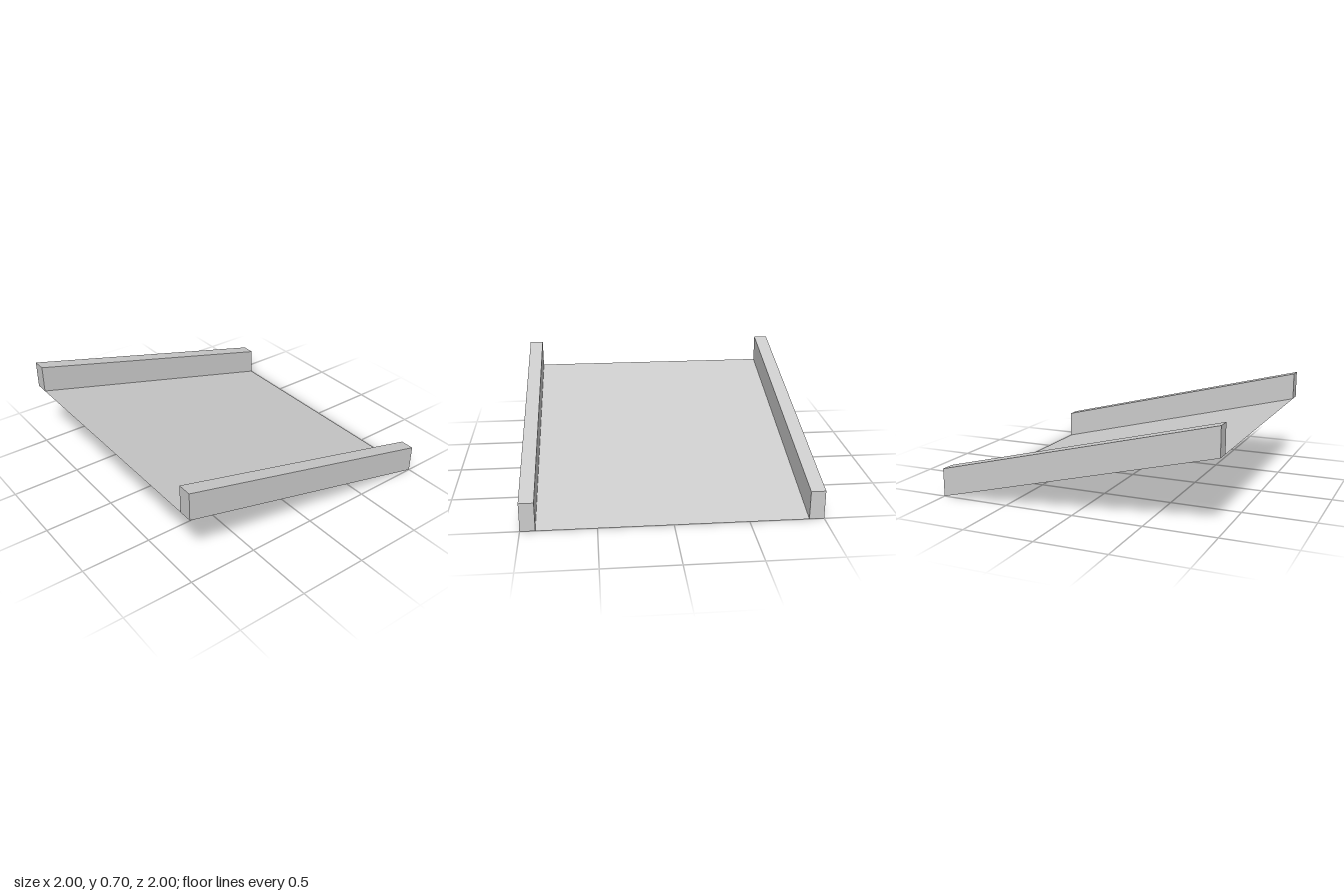
import * as THREE from 'three';

const WIDTH = 2, LENGTH = 2, RISE = 0.5;
const RAIL_WIDTH = 0.1, RAIL_HEIGHT = 0.2;

// Lift every vertex by the slope: 0 at the back (z = -1), RISE at the front (z = 1)
function slope(geometry) {
  const p = geometry.attributes.position;
  for (let i = 0; i < p.count; i++) {
    p.setY(i, p.getY(i) + RISE * (p.getZ(i) / LENGTH + 0.5));
  }
  geometry.computeVertexNormals();
  return geometry;
}

export function createModel() {
  const model = new THREE.Group();
  model.name = 'ramp';

  const grey = new THREE.MeshStandardMaterial({ color: 0xcccccc, side: THREE.DoubleSide });
  grey.name = 'light grey';

  // Thin sloping sheet between the rails
  const deckGeometry = new THREE.PlaneGeometry(WIDTH - 2 * RAIL_WIDTH, LENGTH).rotateX(-Math.PI / 2);
  const deck = new THREE.Mesh(slope(deckGeometry), grey);
  deck.name = 'deck';
  model.add(deck);

  // Side rails: sheared hollow boxes, open underneath
  for (const side of [-1, 1]) {
    const box = new THREE.BoxGeometry(RAIL_WIDTH, RAIL_HEIGHT, LENGTH);
    box.translate(side * (WIDTH - RAIL_WIDTH) / 2, RAIL_HEIGHT / 2, 0);
    const bottom = box.groups[3];
    box.setIndex(Array.from(box.index.array).filter(
      (_, i) => i < bottom.start || i >= bottom.start + bottom.count));
    box.clearGroups();
    const rail = new THREE.Mesh(slope(box), grey);
    rail.name = side > 0 ? 'leftRail' : 'rightRail';
    model.add(rail);
  }

  return model;
}
